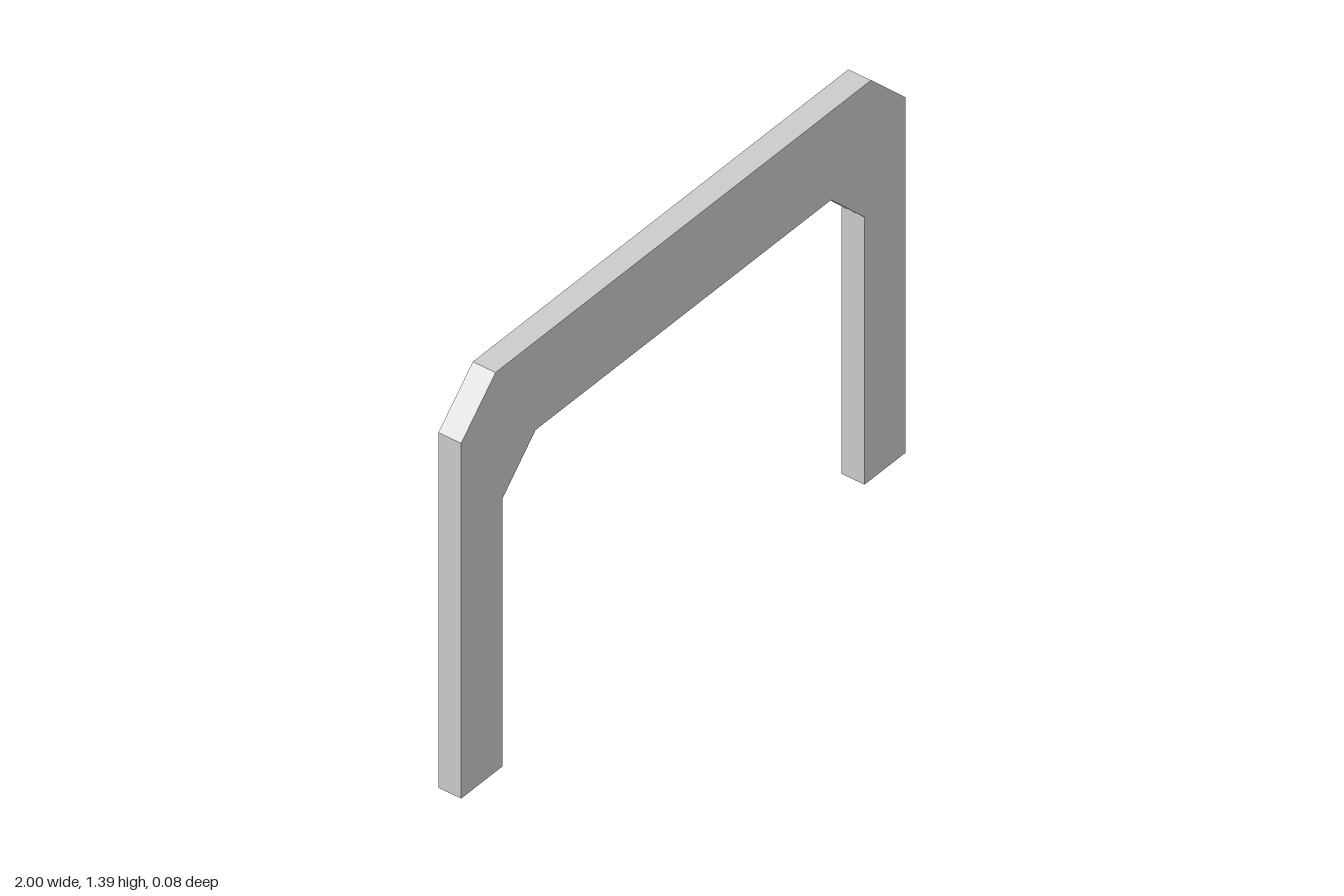
import * as THREE from 'three';

export function createModel() {
  const group = new THREE.Group();
  group.name = 'archway';

  // Right half of the outline, from the inner top corner round to the outer top corner
  const half = [
    [0.665, 1.08], [0.815, 0.93], [0.815, 0],
    [1, 0], [1, 1.235], [0.845, 1.388],
  ];
  const mirrored = half.map(([x, y]) => [-x, y]).reverse();
  const outline = [...half, ...mirrored].map(([x, y]) => new THREE.Vector2(x, y));

  // Flat portal frame with chamfered corners
  const depth = 0.08;
  const geometry = new THREE.ExtrudeGeometry(new THREE.Shape(outline), { depth, bevelEnabled: false });
  geometry.translate(0, 0, -depth / 2);

  const material = new THREE.MeshStandardMaterial({ color: 0xcccccc, flatShading: true });
  const frame = new THREE.Mesh(geometry, material);
  frame.name = 'portalFrame';
  group.add(frame);
  return group;
}
